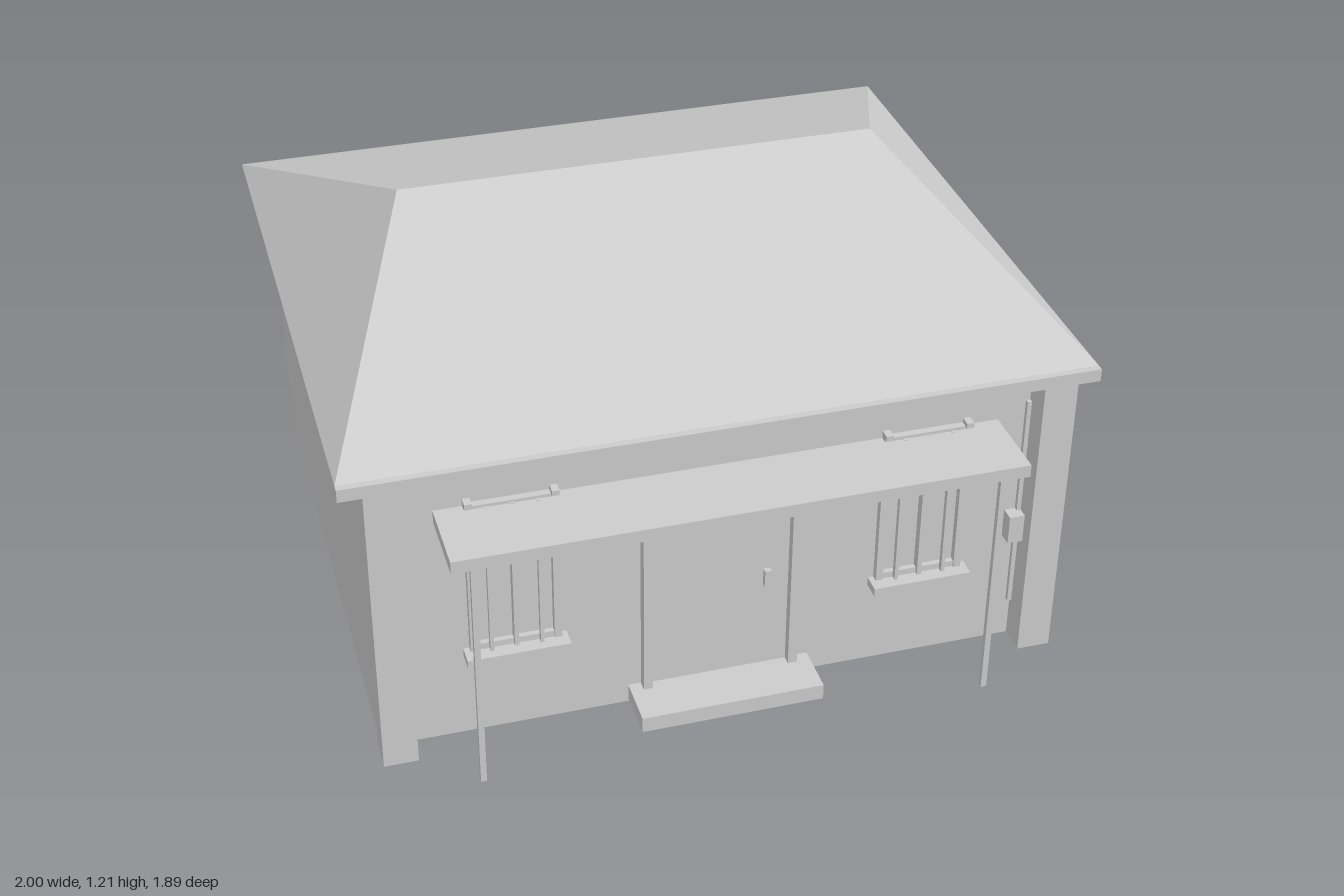
import * as THREE from 'three';

export function createModel() {
  const house = new THREE.Group();
  house.name = 'house';
  const plaster = new THREE.MeshStandardMaterial({ color: 0xcccccc });
  plaster.name = 'light grey';

  // Box given by its minimum and maximum on each axis
  function box(name, x0, x1, y0, y1, z0, z1, parent = house) {
    const mesh = new THREE.Mesh(new THREE.BoxGeometry(x1 - x0, y1 - y0, z1 - z0), plaster);
    mesh.position.set((x0 + x1) / 2, (y0 + y1) / 2, (z0 + z1) / 2);
    mesh.name = name;
    parent.add(mesh);
    return mesh;
  }

  const wall = 0.725; // front wall plane
  const front = 0.805; // front of the corner pillars

  // Main body, corner pillars and header over the recessed front
  box('walls', -0.93, 0.93, 0, 0.895, -0.88, wall);
  for (const s of [-1, 1]) {
    const a = s * 0.845, b = s * 0.938;
    box('cornerPillar', Math.min(a, b), Math.max(a, b), 0, 0.86, wall - 0.005, front);
  }
  box('header', -0.938, 0.938, 0.855, 0.895, wall - 0.005, 0.79);
  box('fascia', -1, 1, 0.86, 0.896, 0.78, front);

  // Hipped roof: a box whose top corners are drawn in to the ridge
  const roofGeo = new THREE.BoxGeometry(2, 1, 1).toNonIndexed();
  const p = roofGeo.attributes.position;
  for (let i = 0; i < p.count; i++) {
    const side = Math.sign(p.getX(i));
    if (p.getY(i) > 0) p.setXYZ(i, side * 0.67, 1.208, -0.08);
    else p.setXYZ(i, side, 0.896, p.getZ(i) > 0 ? 0.785 : -0.945);
  }
  roofGeo.computeVertexNormals();
  const roof = new THREE.Mesh(roofGeo, plaster);
  roof.name = 'roof';
  house.add(roof);

  // Porch canopy on two thin poles
  box('canopy', -0.757, 0.757, 0.697, 0.733, wall, 0.945);
  for (const x of [-0.698, 0.692]) box('canopyPole', x - 0.008, x + 0.008, 0, 0.7, 0.913, 0.929);

  // Door with side posts, handle and step
  box('doorLeaf', -0.195, 0.187, 0.055, 0.68, wall, wall + 0.004);
  box('doorPost', -0.22, -0.195, 0.055, 0.682, wall, wall + 0.03);
  box('doorPost', 0.187, 0.213, 0.055, 0.682, wall, wall + 0.03);
  box('doorHandle', 0.117, 0.135, 0.325, 0.375, wall, wall + 0.02);
  box('doorStep', -0.255, 0.251, 0.01, 0.056, wall, 0.868);

  // Barred windows with a sill and a notched top rail
  for (const cx of [-0.56, 0.555]) {
    const win = new THREE.Group();
    win.name = 'window';
    win.position.x = cx;
    house.add(win);
    box('windowSill', -0.138, 0.138, 0.256, 0.28, wall, wall + 0.055, win);
    box('windowBottomRail', -0.122, 0.122, 0.28, 0.298, wall, wall + 0.015, win);
    box('windowTopRail', -0.122, 0.122, 0.722, 0.742, wall, wall + 0.02, win);
    for (const s of [-1, 1]) {
      box('windowPost', s * 0.112 - 0.01, s * 0.112 + 0.01, 0.28, 0.742, wall, wall + 0.02, win);
      box('railEnd', s * 0.112 - 0.01, s * 0.112 + 0.01, 0.74, 0.755, wall, wall + 0.03, win);
      box('windowBar', s * 0.067 - 0.005, s * 0.067 + 0.005, 0.28, 0.735, wall + 0.015, wall + 0.03, win);
    }
    box('windowMullion', -0.006, 0.006, 0.28, 0.735, wall, wall + 0.025, win);
  }

  // Meter box with its pipe beside the pillar
  box('meterBox', 0.802, 0.845, 0.345, 0.43, wall, wall + 0.04);
  box('meterPipe', 0.833, 0.845, 0.12, 0.78, wall, wall + 0.012);

  return house;
}
